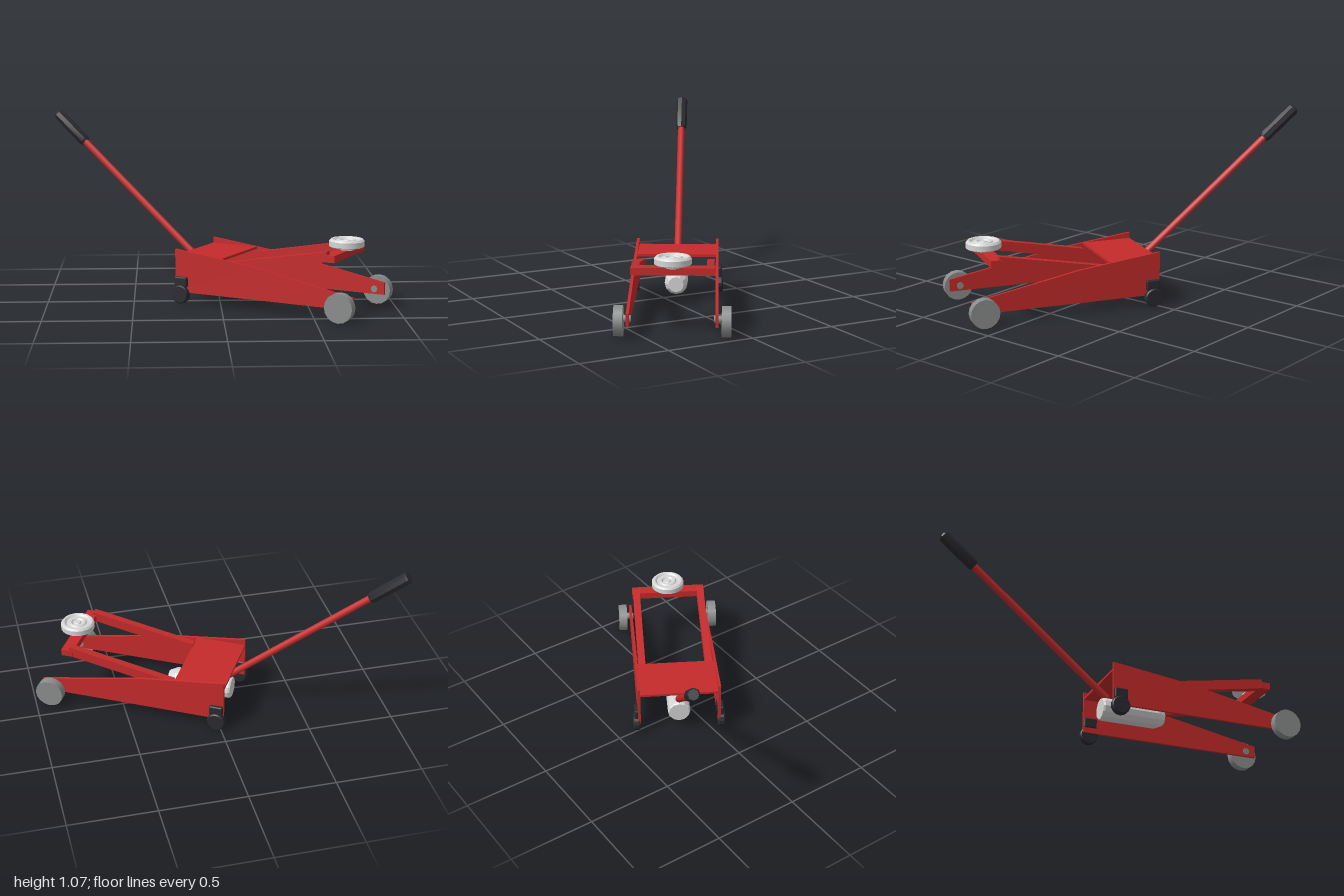
import * as THREE from 'three';
import { RoundedBoxGeometry } from 'three/addons/geometries/RoundedBoxGeometry.js';
import { toCreasedNormals } from 'three/addons/utils/BufferGeometryUtils.js';

const material = (name, color) => {
  const m = new THREE.MeshStandardMaterial({ color });
  m.name = name;
  return m;
};

export function createModel() {
  const red = material('red paint', 0xc62b2b);
  const black = material('black rubber', 0x2a2a30);
  const grey = material('grey steel', 0x8c8e8e);
  const silver = material('bright steel', 0xd6d6d6);

  // The jack is built along x, symmetric in z, and then turned
  const jack = new THREE.Group();
  jack.name = 'jack';

  function add(name, geometry, mat, x = 0, y = 0, z = 0) {
    const mesh = new THREE.Mesh(geometry, mat);
    mesh.name = name;
    mesh.position.set(x, y, z);
    jack.add(mesh);
    return mesh;
  }

  // Solid of revolution from [radius, height] points, with crisp edges
  function turned(points, sides) {
    const profile = points.map(([r, h]) => new THREE.Vector2(r, h));
    return toCreasedNormals(new THREE.LatheGeometry(profile, sides), 0.4);
  }

  // Side plate outline
  const outline = new THREE.Shape([
    [-0.205, 0.065], [0.905, 0.065], [0.905, 0.135], [0.28, 0.255], [-0.205, 0.315],
  ].map(([x, y]) => new THREE.Vector2(x, y)));
  const plate = new THREE.ExtrudeGeometry(outline, { depth: 0.016, bevelEnabled: false });
  plate.translate(0, 0, -0.008);

  const frontWheel = new THREE.CylinderGeometry(0.083, 0.083, 0.05, 16).rotateX(Math.PI / 2);
  const axle = new THREE.CylinderGeometry(0.02, 0.02, 0.05, 10).rotateX(Math.PI / 2);
  const caster = turned([
    [0, -0.02], [0.048, -0.02], [0.054, -0.013], [0.054, 0.013], [0.048, 0.02], [0, 0.02],
  ], 14).rotateX(Math.PI / 2);
  const bracket = new RoundedBoxGeometry(0.08, 0.06, 0.042, 1, 0.008);

  // Lift arm, rising to the front
  const armRise = 0.117, armRun = 0.63;
  const arm = new THREE.BoxGeometry(Math.hypot(armRise, armRun), 0.057, 0.042);
  arm.rotateZ(Math.atan2(armRise, armRun));

  for (const [label, s] of [['left', -1], ['right', 1]]) {
    add(label + 'SidePlate', plate, red, 0, 0, s * 0.235);
    add(label + 'FrontWheel', frontWheel, grey, 0.845, 0.083, s * 0.285);
    add(label + 'FrontAxle', axle, grey, 0.845, 0.095, s * 0.245);
    add(label + 'RearCaster', caster, black, -0.165, 0.054, s * 0.25);
    add(label + 'CasterBracket', bracket, black, -0.162, 0.126, s * 0.242);
    add(label + 'LiftArm', arm, red, 0.425, 0.287, s * 0.2);
  }

  // Top cover and front cross bar
  add('topCover', new THREE.BoxGeometry(0.295, 0.014, 0.456), red, -0.0575, 0.273, 0);
  add('crossBar', new THREE.BoxGeometry(0.07, 0.04, 0.45), red, 0.75, 0.335, 0);

  // Saddle with stepped rings on top
  add('saddle', turned([
    [0, 0], [0.042, 0], [0.042, 0.016], [0.09, 0.016], [0.1, 0.022], [0.1, 0.052],
    [0.09, 0.063], [0.078, 0.063], [0.068, 0.053], [0.055, 0.053], [0.048, 0.06],
    [0.038, 0.06], [0.03, 0.052], [0.02, 0.052], [0.015, 0.058], [0, 0.058],
  ], 20), silver, 0.764, 0.353, 0);

  // Hydraulic cylinder, tapered to the front
  const ram = turned([
    [0, -0.19], [0.06, -0.19], [0.066, -0.18], [0.066, 0.15], [0.044, 0.195], [0, 0.195],
  ], 12).rotateZ(-Math.PI / 2);
  add('hydraulicCylinder', ram, silver, 0, 0.125, 0);

  // Pump handle with grip, leaning to the rear
  const handle = new THREE.Group();
  handle.name = 'handle';
  handle.position.set(-0.15, 0.194, 0);
  handle.rotation.z = Math.atan2(1.015, 0.851);
  jack.add(handle);
  const rod = new THREE.CylinderGeometry(0.021, 0.021, 1.12, 8).translate(0, 0.56, 0);
  const grip = turned([
    [0, 1.067], [0.027, 1.067], [0.035, 1.085], [0.035, 1.315], [0.028, 1.325], [0, 1.325],
  ], 8);
  for (const [name, geometry, mat] of [['handleRod', rod, red], ['handleGrip', grip, black]]) {
    const mesh = new THREE.Mesh(geometry, mat);
    mesh.name = name;
    handle.add(mesh);
  }

  // Turn the jack to its resting direction and centre it
  jack.rotation.y = -Math.PI / 6;
  jack.position.set(0.039, 0, -0.067);
  const model = new THREE.Group();
  model.name = 'floorJack';
  model.add(jack);
  return model;
}
